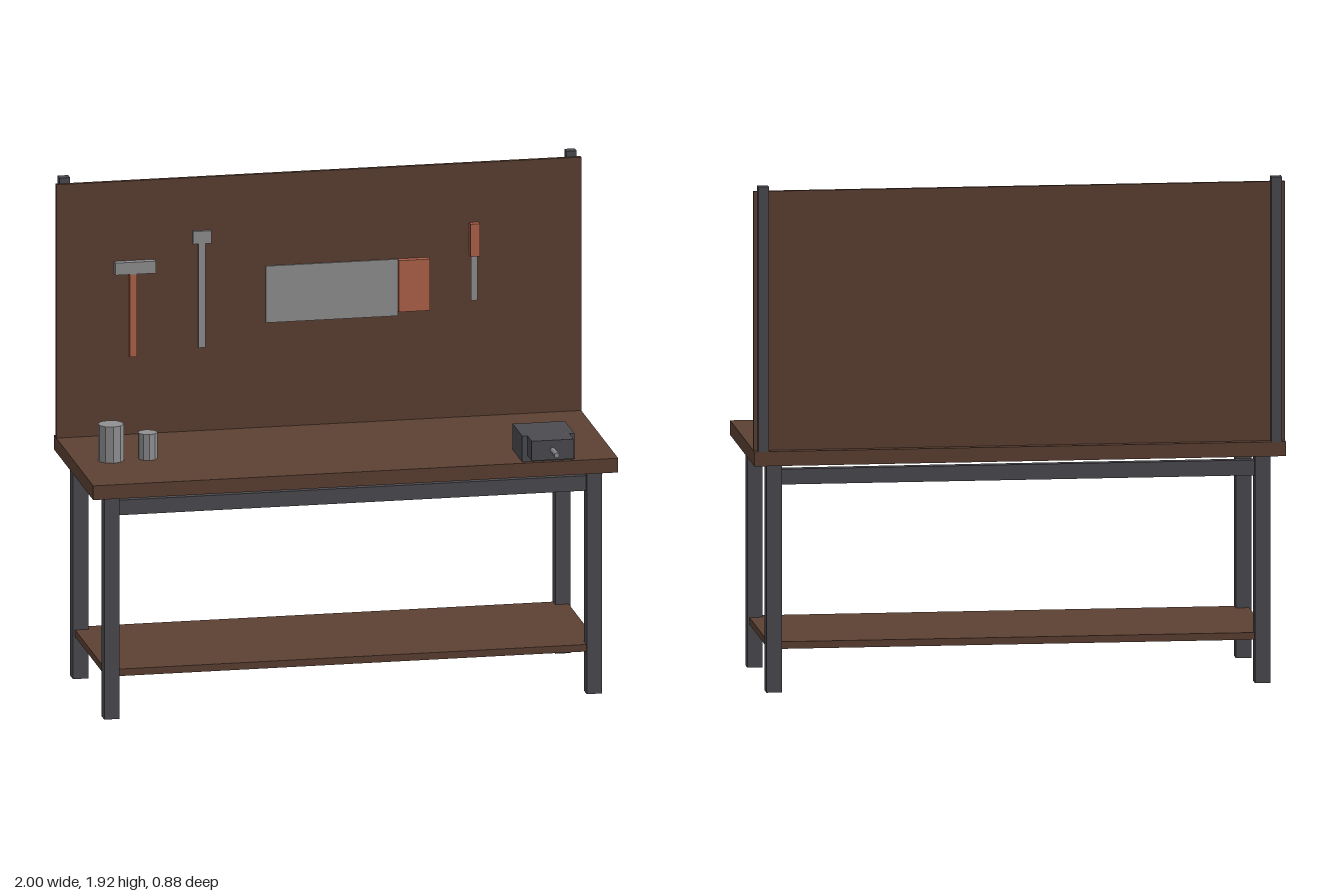
import * as THREE from 'three';

const mat = (name, color) => {
  const m = new THREE.MeshStandardMaterial({ color });
  m.name = name;
  return m;
};

export function createModel() {
  const wood = mat('brown wood', 0x5c4033);
  const iron = mat('dark iron', 0x4a4a50);
  const steel = mat('grey steel', 0x909092);
  const grip = mat('red grip', 0xb0624a);

  const bench = new THREE.Group();
  bench.name = 'workbench';

  const group = (name) => {
    const g = new THREE.Group();
    g.name = name;
    bench.add(g);
    return g;
  };
  // Box given by its lower and upper limits on each axis
  const box = (parent, name, material, [x0, x1], [y0, y1], [z0, z1]) => {
    const mesh = new THREE.Mesh(new THREE.BoxGeometry(x1 - x0, y1 - y0, z1 - z0), material);
    mesh.position.set((x0 + x1) / 2, (y0 + y1) / 2, (z0 + z1) / 2);
    mesh.name = name;
    parent.add(mesh);
  };

  // Table: top, legs, rails and lower shelf
  const table = group('table');
  box(table, 'tableTop', wood, [-1, 1], [0.865, 0.92], [-0.442, 0.303]);
  box(table, 'lowerShelf', wood, [-0.94, 0.94], [0.163, 0.19], [-0.38, 0.245]);
  for (const [end, z0] of [['front', 0.198], ['back', -0.392]]) {
    for (const [side, x0] of [['Left', 0.89], ['Right', -0.948]]) {
      box(table, end + side + 'Leg', iron, [x0, x0 + 0.058], [0, 0.865], [z0, z0 + 0.056]);
    }
    box(table, end + 'Rail', iron, [-0.89, 0.89], [0.785, 0.843], [z0 + 0.01, z0 + 0.046]);
  }

  // Tool wall with two posts behind it
  const wall = group('toolWall');
  box(wall, 'backPanel', wood, [-1, 1], [0.92, 1.9], [-0.41, -0.394]);
  for (const [side, x0] of [['left', 0.945], ['right', -0.985]]) {
    box(wall, side + 'Post', iron, [x0, x0 + 0.04], [0.92, 1.922], [-0.442, -0.406]);
  }

  // Hanging tools
  const P = -0.396; // just inside the panel face
  const hammer = group('hammer');
  box(hammer, 'hammerHandle', grip, [-0.724, -0.697], [1.225, 1.545], [P, -0.37]);
  box(hammer, 'hammerHead', steel, [-0.78, -0.625], [1.545, 1.592], [P, -0.367]);

  const wrench = group('wrench');
  box(wrench, 'wrenchShaft', steel, [-0.46, -0.434], [1.243, 1.645], [P, -0.384]);
  box(wrench, 'wrenchHead', steel, [-0.481, -0.412], [1.645, 1.694], [P, -0.382]);

  const saw = group('saw');
  box(saw, 'sawBlade', steel, [-0.203, 0.3], [1.325, 1.544], [P, -0.388]);
  box(saw, 'sawHandle', grip, [0.3, 0.418], [1.345, 1.544], [P, -0.367]);

  const driver = group('screwdriver');
  box(driver, 'driverHandle', grip, [0.573, 0.608], [1.544, 1.67], [P, -0.367]);
  box(driver, 'driverShaft', steel, [0.579, 0.603], [1.37, 1.544], [P, -0.386]);

  // Faceted cans on the table
  const cans = group('cans');
  for (const [name, x, r, h] of [['largeCan', -0.862, 0.049, 0.14], ['smallCan', -0.722, 0.037, 0.1]]) {
    const geo = new THREE.CylinderGeometry(r, r, h, 10).toNonIndexed();
    geo.computeVertexNormals();
    const can = new THREE.Mesh(geo, steel);
    can.position.set(x, 0.92 + h / 2, -0.048);
    can.name = name;
    cans.add(can);
  }

  // Vise overhanging the front edge
  const vise = group('vise');
  box(vise, 'viseBody', iron, [0.638, 0.837], [0.92, 1.02], [0.104, 0.284]);
  box(vise, 'viseJaw', iron, [0.658, 0.818], [0.944, 1.02], [0.284, 0.364]);
  const screw = new THREE.Mesh(new THREE.CylinderGeometry(0.01, 0.01, 0.1, 8), steel);
  screw.rotation.x = Math.PI / 2;
  screw.position.set(0.738, 0.982, 0.392);
  screw.name = 'viseScrew';
  vise.add(screw);

  return bench;
}
